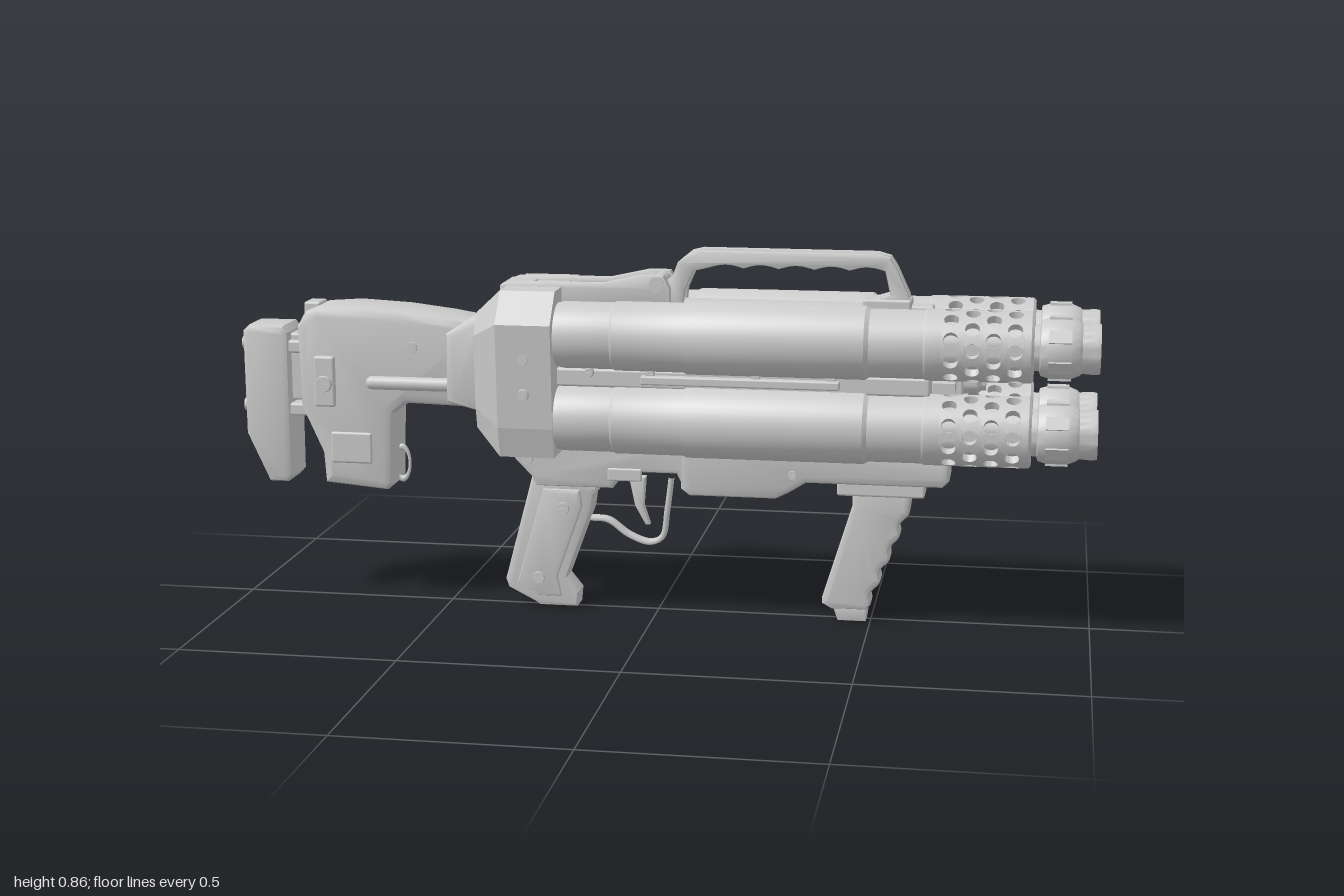
import * as THREE from 'three';
import { toCreasedNormals } from 'three/addons/utils/BufferGeometryUtils.js';
import { RoundedBoxGeometry } from 'three/addons/geometries/RoundedBoxGeometry.js';

const mat = new THREE.MeshStandardMaterial({ color: 0xcccccc });

export function createModel() {
  const model = new THREE.Group();
  const add = (name, geo, x = 0, y = 0, z = 0, parent = model) => {
    const m = new THREE.Mesh(geo, mat);
    m.name = name;
    m.position.set(x, y, z);
    parent.add(m);
    return m;
  };
  // Side profile extruded across z, with chamfered edges inside the outline
  const plate = (pts, width, bevel = 0.008, steps = 1) => {
    const shape = new THREE.Shape(pts.map(p => new THREE.Vector2(p[0], p[1])));
    const g = new THREE.ExtrudeGeometry(shape, {
      depth: width - 2 * bevel, steps, bevelEnabled: bevel > 0, bevelThickness: bevel,
      bevelSize: bevel, bevelOffset: -bevel, bevelSegments: 2,
    });
    g.translate(0, 0, -width / 2 + bevel);
    return toCreasedNormals(g, 0.5);
  };
  const box = (name, x0, x1, y0, y1, z0, z1, r = 0.006) =>
    add(name, new RoundedBoxGeometry(x1 - x0, y1 - y0, z1 - z0, 2, r), (x0 + x1) / 2, (y0 + y1) / 2, (z0 + z1) / 2);
  const lathe = (pts, seg = 40) =>
    toCreasedNormals(new THREE.LatheGeometry(pts.map(p => new THREE.Vector2(p[1], p[0])), seg).rotateZ(-Math.PI / 2), 0.5);
  const screw = (x, y, z, r = 0.013) => {
    for (const s of [1, -1]) {
      add('screw', new THREE.CylinderGeometry(r, r * 1.15, 0.012, 16).rotateX(s * Math.PI / 2), x, y, s * z);
      add('screwSlot', new THREE.BoxGeometry(r * 1.4, 0.003, 0.004), x, y, s * (z + 0.006));
    }
  };

  // Four barrels: stepped tube, perforated jacket, muzzle with an open bore
  const barrelGeo = lathe([
    [-0.23, 0], [-0.23, 0.07], [-0.2, 0.076], [-0.085, 0.076], [-0.08, 0.079], [0.075, 0.079], [0.085, 0.083],
    [0.485, 0.083], [0.495, 0.077], [0.615, 0.077], [0.62, 0.08], [0.652, 0.08], [0.652, 0.062], [0.838, 0.062],
    [0.838, 0.08], [0.85, 0.08], [0.856, 0.074], [0.856, 0.052], [0.868, 0.052], [0.87, 0.062], [0.89, 0.068],
    [0.935, 0.068], [0.955, 0.06], [0.96, 0.055], [0.99, 0.057], [1.0, 0.055], [1.0, 0.044], [0.985, 0.041],
    [0.88, 0.041], [0.88, 0],
  ]);
  const jacketGeo = perforatedJacket();
  for (const y of [0.667, 0.475]) for (const z of [0.102, -0.102]) {
    const b = new THREE.Group();
    b.name = 'barrel';
    b.position.set(0, y, z);
    model.add(b);
    add('barrelTube', barrelGeo, 0, 0, 0, b);
    add('perforatedJacket', jacketGeo, 0, 0, 0, b);
    for (let i = 0; i < 6; i++) {
      const a = i * Math.PI / 3;
      const lug = add('muzzleLug', new THREE.BoxGeometry(0.05, 0.012, 0.03), 0.912, 0.065 * Math.cos(a), 0.065 * Math.sin(a), b);
      lug.rotation.x = a;
    }
  }

  // Central spine between the barrels
  box('spinePlate', -0.23, 0.63, 0.45, 0.74, -0.025, 0.025);
  box('spineCross', -0.23, 0.63, 0.55, 0.592, -0.12, 0.12);
  for (const s of [1, -1]) box('seamRail', -0.02, 0.43, 0.562, 0.582, s * 0.125 - 0.015, s * 0.125 + 0.015, 0.004);
  for (const x of [-0.14, 0.0, 0.24, 0.41]) screw(x, 0.585, 0.125, 0.01);
  add('hubRod', lathe([[0.6, 0], [0.6, 0.03], [0.73, 0.03], [0.74, 0.022], [0.75, 0.022], [0.75, 0]], 24), 0, 0.57, 0);
  box('hubBlock', 0.63, 0.7, 0.535, 0.605, -0.035, 0.035);
  for (let i = 0; i < 4; i++) {
    const arm = add('hubArm', new THREE.BoxGeometry(0.05, 0.11, 0.024).translate(0, 0.06, 0), 0.66, 0.57, 0);
    arm.rotation.x = i * Math.PI / 2;
  }

  // Breech housing: eight-sided slab that tapers to the rear
  const half = [[0.16, 0.39], [0.178, 0.46], [0.197, 0.7], [0.14, 0.77]];
  const housing = plate([...half, ...half.map(p => [-p[0], p[1]]).reverse()], 0.19, 0, 3);
  housing.rotateY(Math.PI / 2).translate(-0.31, 0, 0);
  const hp = housing.attributes.position;
  for (let i = 0; i < hp.count; i++) {
    if (hp.getX(i) > -0.4) continue;
    hp.setY(i, 0.58 + (hp.getY(i) - 0.58) * 0.7);
    hp.setZ(i, hp.getZ(i) * 0.72);
  }
  housing.computeVertexNormals();
  add('breechHousing', housing);
  add('housingNeck', plate([[-0.48, 0.5], [-0.36, 0.47], [-0.36, 0.72], [-0.42, 0.7], [-0.48, 0.66]], 0.23, 0.02));
  for (const y of [0.54, 0.62]) screw(-0.28, y, 0.187, 0.012);

  // Stock with butt pad
  add('stock', plate([
    [-0.85, 0.66], [-0.83, 0.695], [-0.8, 0.708], [-0.72, 0.714], [-0.6, 0.708], [-0.49, 0.695], [-0.4, 0.68], [-0.4, 0.48],
    [-0.59, 0.485], [-0.62, 0.46], [-0.625, 0.29], [-0.64, 0.275], [-0.79, 0.288], [-0.795, 0.36], [-0.845, 0.47],
  ], 0.14, 0.022));
  add('buttPad', plate([
    [-0.985, 0.645], [-0.97, 0.66], [-0.885, 0.66], [-0.872, 0.645], [-0.872, 0.3], [-0.885, 0.285], [-0.93, 0.285], [-0.983, 0.4],
  ], 0.12, 0.015));
  box('buttSpacer', -0.9, -0.84, 0.48, 0.64, -0.035, 0.035);
  for (const y of [0.61, 0.46]) {
    add('buttBolt', new THREE.CylinderGeometry(0.016, 0.016, 0.03, 16).rotateZ(Math.PI / 2), -0.985, y, 0);
    box('buttRod', -0.9, -0.8, y - 0.015, y + 0.015, -0.05, 0.05);
  }
  box('stockTopLatch', -0.84, -0.8, 0.66, 0.715, -0.03, 0.03);
  for (const s of [1, -1]) {
    add('sideBar', new THREE.CapsuleGeometry(0.016, 0.18, 6, 14).rotateZ(Math.PI / 2), -0.575, 0.535, s * 0.072);
    box('stockSwitchPlate', -0.805, -0.755, 0.475, 0.595, s * 0.07 - 0.012, s * 0.07 + 0.012);
    box('stockSidePanel', -0.77, -0.67, 0.34, 0.415, s * 0.066 - 0.008, s * 0.066 + 0.008);
  }
  screw(-0.78, 0.53, 0.084, 0.018);
  screw(-0.57, 0.62, 0.068);
  add('slingLoop', new THREE.TorusGeometry(0.03, 0.006, 8, 24).scale(0.6, 1.3, 1), -0.617, 0.33, 0);

  // Top deck rails with a raised front block
  for (const s of [1, -1]) {
    add('deckRail', plate([[-0.36, 0.72], [-0.36, 0.77], [-0.34, 0.778], [-0.12, 0.78], [-0.03, 0.8], [0.02, 0.8], [0.035, 0.77], [0.035, 0.7], [-0.2, 0.7]], 0.026, 0.004), 0, 0, s * 0.05);
  }
  box('deckRearBar', -0.36, -0.29, 0.74, 0.774, -0.06, 0.06);
  box('deckFloor', -0.3, 0.03, 0.7, 0.74, -0.05, 0.05);
  box('deckFrontBlock', -0.03, 0.03, 0.72, 0.785, -0.045, 0.045);
  add('deckPin', new THREE.CylinderGeometry(0.018, 0.018, 0.136, 18).rotateX(Math.PI / 2), 0.005, 0.78, 0);
  box('deckSlider', -0.25, -0.05, 0.73, 0.755, -0.015, 0.015);

  // Twin-plate carry handle, scalloped underneath and closing toward the front
  const grooves = [];
  for (let i = 0; i <= 40; i++) grooves.push([0.12 + i * 0.01, 0.818 + 0.008 * Math.abs(Math.sin(i * Math.PI / 8))]);
  const outline = [
    [0.0, 0.72], [0.0, 0.76], [0.035, 0.79], [0.05, 0.83], [0.075, 0.85], [0.1, 0.856], [0.5, 0.856], [0.53, 0.848], [0.545, 0.825],
    [0.575, 0.76], [0.575, 0.7], [0.49, 0.7], [0.5, 0.755], [0.532, 0.765], ...grooves.reverse(),
    [0.085, 0.81], [0.065, 0.765], [0.06, 0.72],
  ];
  for (const s of [1, -1]) {
    const g = plate(outline, 0.024, 0.004);
    const p = g.attributes.position;
    for (let i = 0; i < p.count; i++) p.setZ(i, p.getZ(i) + s * (0.031 - 0.015 * p.getX(i)));
    add('carryHandle', g);
  }
  box('handleFoot', 0.47, 0.58, 0.68, 0.755, -0.04, 0.04);

  // Lower frame and fore rail
  add('lowerFrame', plate([
    [-0.36, 0.42], [-0.33, 0.36], [-0.29, 0.32], [-0.28, 0.3], [-0.1, 0.3], [-0.08, 0.34], [0.05, 0.34], [0.07, 0.3], [0.07, 0.42],
  ], 0.125, 0.012));
  add('foreRail', plate([
    [0.06, 0.45], [0.06, 0.305], [0.08, 0.29], [0.28, 0.29], [0.31, 0.305], [0.35, 0.33], [0.66, 0.33], [0.675, 0.345], [0.675, 0.39], [0.62, 0.43],
  ], 0.135, 0.016));
  box('railUpper', -0.22, 0.64, 0.37, 0.46, -0.05, 0.05);
  for (const s of [1, -1]) box('framePanel', -0.11, -0.03, 0.32, 0.35, s * 0.06 - 0.006, s * 0.06 + 0.006, 0.004);
  screw(-0.3, 0.365, 0.062);
  screw(0.32, 0.35, 0.066, 0.01);

  // Rear grip
  add('rearGrip', plate([
    [-0.29, 0.34], [-0.362, 0.065], [-0.355, 0.045], [-0.29, 0.012], [-0.28, 0.005], [-0.19, 0.005], [-0.187, 0.04], [-0.215, 0.075],
    [-0.155, 0.24], [-0.15, 0.275], [-0.11, 0.32],
  ], 0.075, 0.01));
  add('gripPanel', plate([[-0.268, 0.29], [-0.332, 0.06], [-0.28, 0.03], [-0.225, 0.03], [-0.235, 0.08], [-0.175, 0.25], [-0.18, 0.29]], 0.09, 0.008));
  screw(-0.22, 0.245, 0.044, 0.014);
  screw(-0.28, 0.075, 0.044, 0.014);

  // Trigger and guard
  const guard = new THREE.CatmullRomCurve3([[-0.16, 0.215], [-0.12, 0.212], [-0.07, 0.178], [-0.02, 0.162], [0.008, 0.175], [0.02, 0.24], [0.03, 0.32]]
    .map(p => new THREE.Vector3(p[0], p[1], 0)));
  add('triggerGuard', new THREE.TubeGeometry(guard, 40, 0.007, 8).scale(1, 1, 2.6));
  add('trigger', plate([[-0.07, 0.32], [-0.055, 0.25], [-0.03, 0.205], [-0.02, 0.205], [-0.035, 0.25], [-0.03, 0.32]], 0.026, 0.004));

  // Front grip with finger grooves on its forward edge
  const front = [];
  for (let i = 0; i <= 32; i++) {
    const t = i / 32;
    front.push([0.5 + 0.085 * t - 0.012 * Math.sin(t * Math.PI * 4) ** 2, 0.04 + 0.22 * t]);
  }
  add('frontGrip', plate([[0.455, 0.34], [0.455, 0.275], [0.388, 0.055], [0.388, 0.04], [0.41, 0.028], [0.49, 0.028], ...front, [0.595, 0.34]], 0.084, 0.014));
  add('frontGripCap', plate([[0.41, 0.04], [0.425, 0], [0.49, 0], [0.495, 0.04]], 0.064, 0.006));
  box('frontGripMount', 0.42, 0.62, 0.3, 0.35, -0.045, 0.045);
  return model;
}

// Sleeve of staggered round holes, made of square cells wrapped around the x axis
function perforatedJacket() {
  const cols = 4, around = 10, n = 16, x0 = 0.652, w = 0.0465, R = 0.08, hole = 0.0165;
  const pos = [];
  const P = (x, a, r) => [x, r * Math.cos(a), r * Math.sin(a)];
  const quad = (a, b, c, d) => pos.push(...a, ...b, ...c, ...a, ...c, ...d);
  for (let c = 0; c < cols; c++) for (let k = 0; k < around; k++) {
    const cx = x0 + (c + 0.5) * w, ca = (k + (c % 2) / 2) * 2 * Math.PI / around;
    const ring = i => {
      const t = i * 2 * Math.PI / n, u = Math.cos(t), v = Math.sin(t), m = Math.max(Math.abs(u), Math.abs(v));
      return {
        rim: P(cx + u * hole, ca + v * hole / R, R),
        inner: P(cx + u * hole, ca + v * hole / R, 0.06),
        edge: P(cx + u / m * w / 2, ca + v / m * Math.PI / around, R),
      };
    };
    for (let i = 0; i < n; i++) {
      const a = ring(i), b = ring(i + 1);
      quad(a.rim, b.rim, b.edge, a.edge);
      quad(a.rim, a.inner, b.inner, b.rim);
    }
  }
  const g = new THREE.BufferGeometry();
  g.setAttribute('position', new THREE.Float32BufferAttribute(pos, 3));
  return toCreasedNormals(g, 0.6);
}
